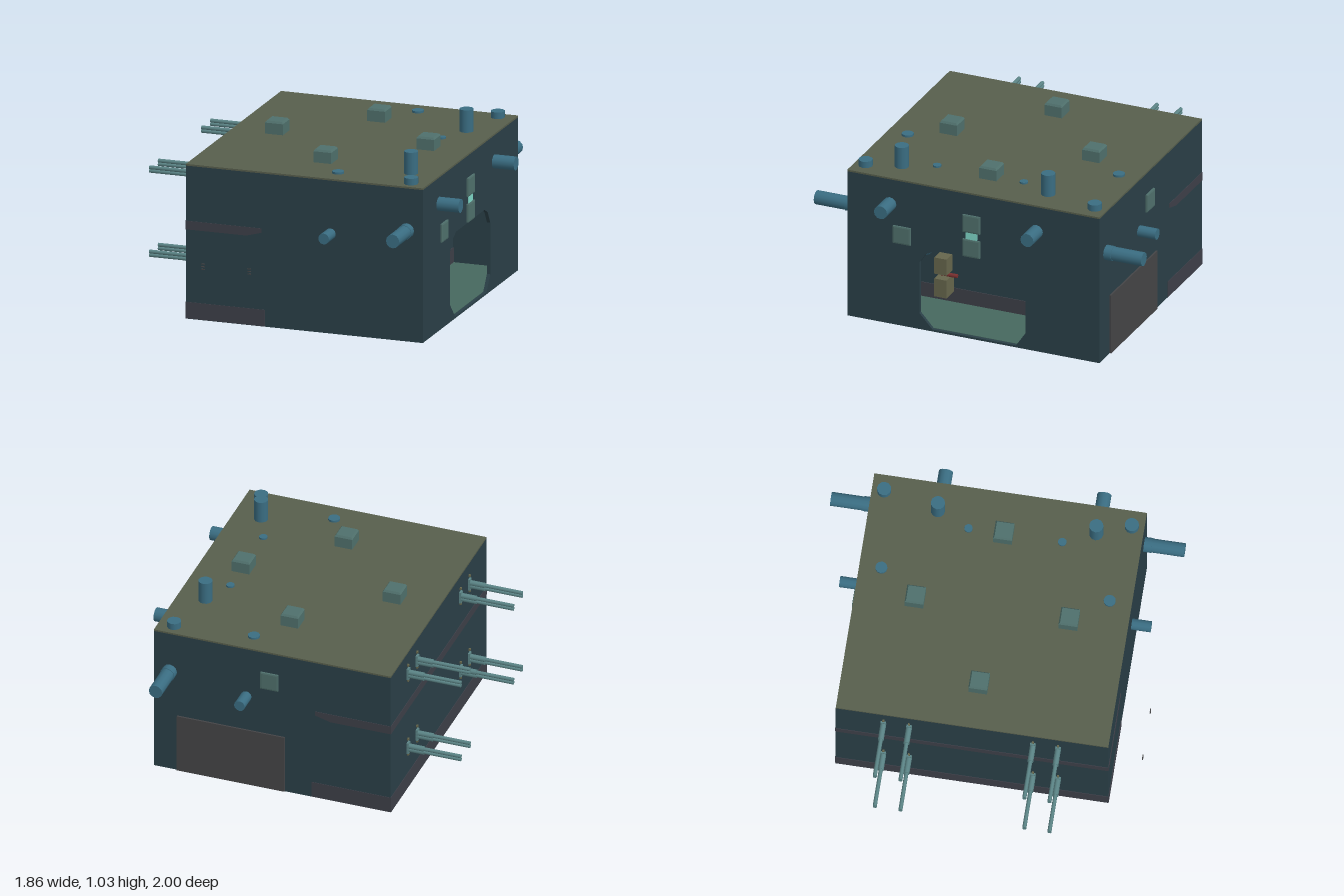
import * as THREE from 'three';

const mat = (color, side = THREE.FrontSide) => new THREE.MeshStandardMaterial({ color, side });
const WALL = mat(0x2a3f47), ROOF = mat(0x575e4c), PIPE = mat(0x3a6d82), BOXES = mat(0x4f706c);
const BARREL = mat(0x5b8486), STRIPE = mat(0x3d3f48), DOOR = mat(0x444446), FLOOR = mat(0x46685e);
const GLOW = mat(0x7fd8c8), OLIVE = mat(0x66664c), RED = mat(0x7a3030), PALE = mat(0xcccccc);

export function createModel() {
  const model = new THREE.Group();

  const add = (name, geometry, material, x = 0, y = 0, z = 0) => {
    const mesh = new THREE.Mesh(geometry, material);
    mesh.name = name;
    mesh.position.set(x, y, z);
    model.add(mesh);
    return mesh;
  };
  // Box given by its low and high corners
  const block = (name, material, [x0, y0, z0], [x1, y1, z1]) =>
    add(name, new THREE.BoxGeometry(x1 - x0, y1 - y0, z1 - z0), material, (x0 + x1) / 2, (y0 + y1) / 2, (z0 + z1) / 2);
  // Cylinder from a base point along an axis
  const rod = (name, material, base, dir, length, radius, sides = 12) => {
    const d = new THREE.Vector3(...dir), p = new THREE.Vector3(...base).addScaledVector(d, length / 2);
    const mesh = add(name, new THREE.CylinderGeometry(radius, radius, length, sides), material, p.x, p.y, p.z);
    mesh.quaternion.setFromUnitVectors(new THREE.Vector3(0, 1, 0), d);
    return mesh;
  };
  const polygon = (points) => points.map(([x, y]) => new THREE.Vector2(x, y));

  // Hull plates
  block('roof', ROOF, [-0.61, 0.89, -0.77], [0.8, 0.9, 0.77]);
  block('basePlate', WALL, [-0.61, 0, -0.77], [0.8, 0.01, 0.77]);
  block('frontWall', WALL, [-0.61, 0.01, 0.75], [0.78, 0.89, 0.77]);
  block('backWall', WALL, [-0.61, 0.01, -0.77], [0.78, 0.89, -0.75]);
  block('leftEndWall', WALL, [-0.61, 0.01, -0.75], [-0.59, 0.89, 0.75]);

  // Entrance wall with its chamfered opening
  const wall = new THREE.Shape(polygon([[-0.77, 0.01], [0.77, 0.01], [0.77, 0.89], [-0.77, 0.89]]));
  wall.holes.push(new THREE.Path(polygon([
    [-0.25, 0.012], [-0.33, 0.1], [-0.33, 0.41], [-0.29, 0.47], [-0.23, 0.5],
    [0.23, 0.5], [0.28, 0.47], [0.32, 0.4], [0.32, 0.1], [0.26, 0.012]])));
  const entrance = new THREE.ExtrudeGeometry(wall, { depth: 0.02, bevelEnabled: false });
  add('entranceWall', entrance.rotateY(Math.PI / 2), WALL, 0.78);

  // Chamber behind the opening
  block('chamberFloor', FLOOR, [0.42, 0.01, -0.75], [0.78, 0.014, 0.75]);
  block('chamberBackWall', WALL, [0.4, 0.01, -0.75], [0.42, 0.89, 0.75]);
  block('chamberSkirting', STRIPE, [0.42, 0.014, -0.75], [0.425, 0.1, 0.75]);
  block('chamberSwitch', PALE, [0.42, 0.28, -0.2], [0.43, 0.34, -0.18]);
  for (const s of [1, -1]) {
    const z = [0.275, 0.35].map((v) => v * s).sort((a, b) => a - b);
    block('consoleBase', OLIVE, [0.45, 0.09, z[0]], [0.55, 0.2, z[1]]);
    block('consoleTop', OLIVE, [0.47, 0.23, z[0]], [0.55, 0.33, z[1]]);
    rod('consoleGrip', RED, [0.5, 0.215, s * 0.23], [0, 0, s], 0.1, 0.012, 8);
    block('chamberPanel', PALE, [0.42, 0.13, s * 0.6 - 0.08], [0.43, 0.24, s * 0.6 + 0.08]);
    const path = new THREE.CatmullRomCurve3([[0.5, 0.89], [0.5, 0.5], [0.5, 0.38], [0.47, 0.33], [0.42, 0.31]]
      .map(([x, y]) => new THREE.Vector3(x, y, s * 0.45)));
    add('chamberPipe', new THREE.TubeGeometry(path, 24, 0.035, 12), PIPE);
  }

  // Service door and lamp on the back
  block('backDoor', DOOR, [0.02, 0.002, -0.78], [0.66, 0.36, -0.77]);

  // Stripes around the left end
  const taper = [[-0.61, 0.52], [-0.25, 0.52], [-0.16, 0.545], [-0.16, 0.57], [-0.61, 0.57]];
  for (const s of [1, -1]) {
    const stripe = new THREE.ExtrudeGeometry(new THREE.Shape(polygon(taper)), { depth: 0.003, bevelEnabled: false });
    add('sideStripe', stripe, STRIPE, 0, 0, s > 0 ? 0.77 : -0.773);
    add('sideSkirt', new THREE.BoxGeometry(0.47, 0.096, 0.003), STRIPE, -0.375, 0.05, s * 0.7715);
  }
  block('endStripe', STRIPE, [-0.613, 0.52, -0.77], [-0.61, 0.57, 0.77]);
  block('endSkirt', STRIPE, [-0.613, 0.002, -0.77], [-0.61, 0.098, 0.77]);

  // Square lamp housings: chamfer-stepped block facing an axis
  const housing = (x, y, z, dir, height) => {
    const group = new THREE.Group();
    group.name = 'lampHousing';
    const lower = new THREE.Mesh(new THREE.BoxGeometry(0.106, height * 0.85, 0.106), BOXES);
    lower.position.y = height * 0.425;
    const cap = new THREE.Mesh(new THREE.CylinderGeometry(0.064, 0.075, height * 0.15, 4, 1).rotateY(Math.PI / 4), BOXES);
    cap.material = new THREE.MeshStandardMaterial({ color: 0x4f706c, flatShading: true });
    cap.position.y = height * 0.925;
    group.add(lower, cap);
    group.position.set(x, y, z);
    group.quaternion.setFromUnitVectors(new THREE.Vector3(0, 1, 0), new THREE.Vector3(...dir));
    model.add(group);
  };
  for (const [x, z] of [[-0.35, 0], [0.55, 0], [0.1, -0.43], [0.1, 0.44]]) housing(x, 0.9, z, [0, 1, 0], 0.075);
  for (const [y, z] of [[0.71, 0.01], [0.56, 0.01], [0.56, 0.435]]) housing(0.8, y, z, [1, 0, 0], 0.012);
  housing(0.11, 0.71, -0.77, [0, 0, -1], 0.012);
  block('entranceLight', GLOW, [0.8, 0.614, -0.024], [0.806, 0.656, 0.044]);

  // Roof and entrance pipes
  for (const z of [-0.385, 0.51]) {
    rod('roofPipe', PIPE, [0.635, 0.9, z], [0, 1, 0], 0.13, 0.04);
    rod('entrancePipe', PIPE, [0.8, 0.74, z], [1, 0, 0], 0.13, 0.04);
  }
  for (const z of [-0.2, 0.33]) rod('roofStud', PIPE, [0.555, 0.9, z], [0, 1, 0], 0.01, 0.024);

  // Pipes mirrored on front and back
  for (const s of [1, -1]) {
    rod('roofCap', PIPE, [0.705, 0.9, s * 0.7], [0, 1, 0], 0.038, 0.04);
    rod('roofDisc', PIPE, [0.25, 0.9, s * 0.645], [0, 1, 0], 0.012, 0.034);
    rod('longSidePipe', PIPE, [0.705, 0.645, s * 0.77], [0, 0, s], 0.23, 0.04);
    rod('sidePipeCollar', PIPE, [0.705, 0.645, s * 0.77], [0, 0, s], 0.045, 0.043);
    rod('shortSidePipe', PIPE, [0.25, 0.58, s * 0.77], [0, 0, s], 0.11, 0.032);
  }

  // Twin-tube barrels on the left end
  for (const y of [0.76, 0.27]) {
    for (const z of [-0.5, -0.355, 0.345, 0.487]) {
      for (const dy of [-0.01, 0.01]) {
        rod('barrelSleeve', BARREL, [-0.61, y + dy, z], [-1, 0, 0], 0.1, 0.016, 10);
        rod('barrel', BARREL, [-0.71, y + dy, z], [-1, 0, 0], 0.22, 0.011, 10);
      }
      add('barrelMount', new THREE.BoxGeometry(0.012, 0.07, 0.03), BARREL, -0.616, y, z);
      for (const dy of [-0.045, 0.055]) add('mountBolt', new THREE.BoxGeometry(0.01, 0.012, 0.012), OLIVE, -0.615, y + dy, z);
    }
  }

  // Tiny marker beads standing off the front
  for (const x of [-0.445, -0.17]) {
    for (const y of [0.35, 0.365, 0.38]) add('markerBead', new THREE.BoxGeometry(0.02, 0.005, 0.005), DOOR, x, y, 0.94);
  }
  return model;
}
